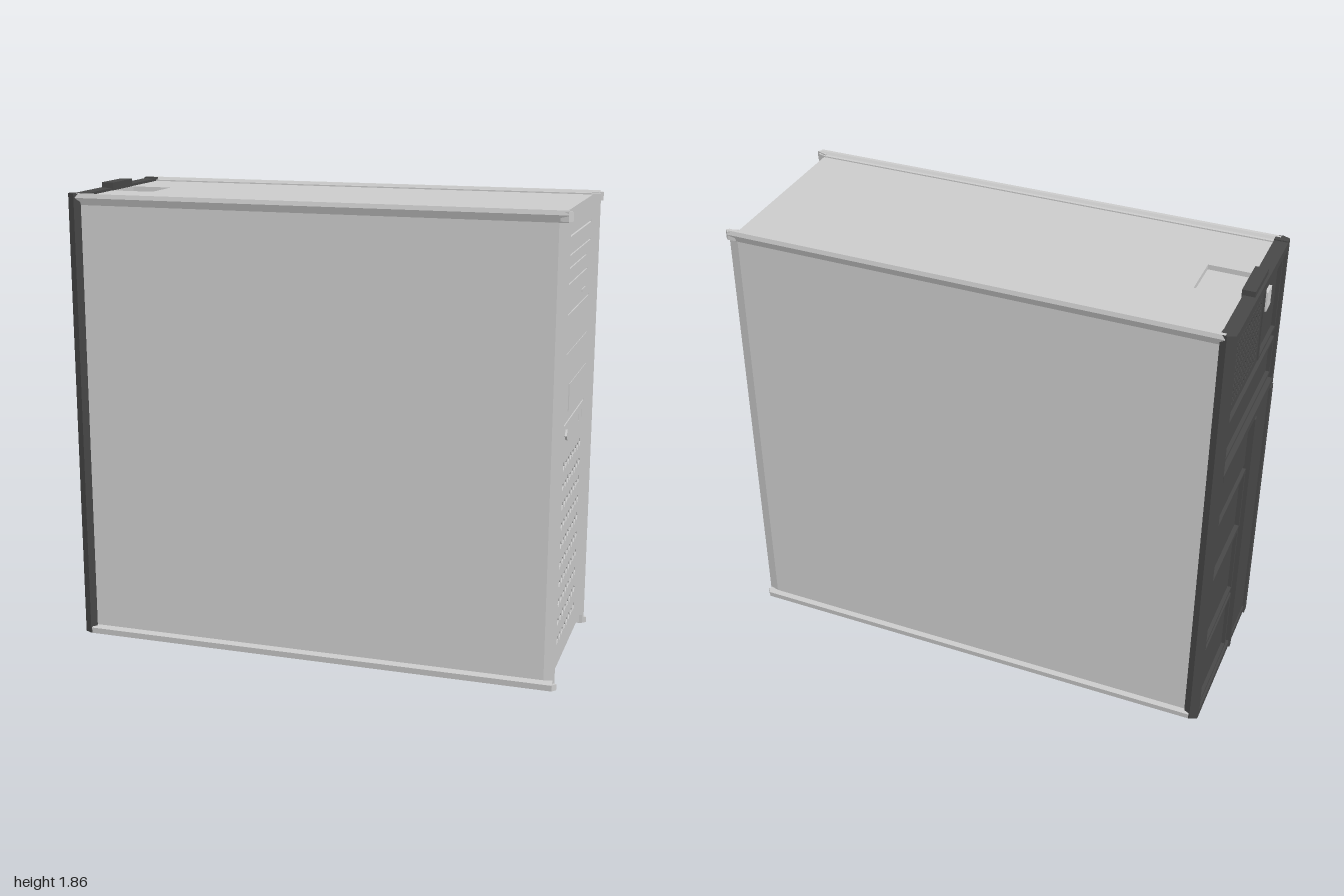
import * as THREE from 'three';

const grey = new THREE.MeshStandardMaterial({ color: 0xcccccc, flatShading: true });
const dark = new THREE.MeshStandardMaterial({ color: 0x484848, flatShading: true });

function add(parent, name, geometry, material = grey) {
  const mesh = new THREE.Mesh(geometry, material);
  mesh.name = name;
  parent.add(mesh);
  return mesh;
}

// Box from its limits on each axis
function box(parent, name, [x0, x1], [y0, y1], [z0, z1], material) {
  const g = new THREE.BoxGeometry(x1 - x0, y1 - y0, z1 - z0);
  g.translate((x0 + x1) / 2, (y0 + y1) / 2, (z0 + z1) / 2);
  return add(parent, name, g, material);
}

const outline = (pts, Type = THREE.Shape) => new Type(pts.map(([a, b]) => new THREE.Vector2(a, b)));
const rect = (a0, a1, b0, b1) => [[a0, b0], [a1, b0], [a1, b1], [a0, b1]];
const diamond = (a, b, r) => [[a - r, b], [a, b - r], [a + r, b], [a, b + r]];

// Prism along x; outline points are (-z, y)
function alongX(points, x0, x1, holes = []) {
  const shape = outline(points);
  shape.holes = holes.map((h) => outline(h, THREE.Path));
  const g = new THREE.ExtrudeGeometry(shape, { depth: x1 - x0, bevelEnabled: false });
  return g.rotateY(Math.PI / 2).translate(x0, 0, 0);
}

// Prism along y; outline points are (x, -z)
function alongY(points, y0, y1, holes = []) {
  const shape = outline(points);
  shape.holes = holes.map((h) => outline(h, THREE.Path));
  const g = new THREE.ExtrudeGeometry(shape, { depth: y1 - y0, bevelEnabled: false });
  return g.rotateX(-Math.PI / 2).translate(0, y0, 0);
}

function sidePanel(side) {
  const group = new THREE.Group();
  group.name = side > 0 ? 'sidePanelFront' : 'sidePanelBack';
  // Slab whose leading edge slants inward and overhangs the bezel
  const slab = [[-0.96, 0.345], [0.955, 0.345], [0.99, 0.355], [0.99, 0.362], [0.95, 0.373], [-0.96, 0.373]];
  add(group, 'panel', alongY(slab.map(([x, z]) => [x, -side * z]), 0.01, 1.835));
  // Flared rims along the bottom and top edges
  const bottom = [[0.35, 0.005], [0.385, 0.005], [0.388, 0.03], [0.373, 0.042], [0.35, 0.042]];
  const top = [[0.355, 1.8], [0.373, 1.8], [0.384, 1.828], [0.38, 1.845], [0.366, 1.845], [0.355, 1.83]];
  add(group, 'bottomRim', alongX(bottom.map(([z, y]) => [-side * z, y]), -0.96, 0.985));
  add(group, 'topRim', alongX(top.map(([z, y]) => [-side * z, y]), -0.96, 0.985));
  // Pointed rim ends beside the bezel
  for (const [y0, y1] of [[0.005, 0.03], [1.805, 1.84]]) {
    const tip = [[0.955, 0.35], [1, 0.367], [0.985, 0.383], [0.955, 0.38]];
    add(group, 'rimTip', alongY(tip.map(([x, z]) => [x, -side * z]), y0, y1));
  }
  return group;
}

function bezel() {
  const group = new THREE.Group();
  group.name = 'frontBezel';
  const holes = [];
  // Ventilation grid
  for (let row = 0; row < 10; row++)
    for (let col = 0; col < 10; col++)
      holes.push(diamond(-0.25 + col * 0.0555, 0.115 + row * 0.0795, 0.019));
  // Seams, power socket slots and upper drive grooves
  holes.push(rect(-0.31, 0.31, 0.997, 1.004));
  holes.push(rect(-0.34, 0.34, 1.724, 1.731));
  holes.push(rect(-0.34, 0.34, 1.428, 1.433));
  holes.push(rect(-0.34, 0.34, 1.653, 1.658));
  holes.push(rect(-0.3, 0.24, 1.604, 1.609), rect(-0.3, 0.28, 1.545, 1.55));
  holes.push(rect(0.184, 0.194, 0.935, 0.975), rect(0.26, 0.27, 0.935, 0.975));
  add(group, 'bezelPlate', alongX(rect(-0.347, 0.347, 0.005, 1.83), 0.94, 0.96, holes));
  // Optical drive button, bay covers and status buttons
  box(group, 'driveButton', [0.955, 0.964], [1.47, 1.48], [-0.225, -0.14]);
  box(group, 'bayCover', [0.955, 0.962], [1.15, 1.28], [-0.31, 0.31]);
  box(group, 'floppyCover', [0.955, 0.964], [1.04, 1.15], [-0.31, 0.09]);
  for (const z of [0.24, 0.12])
    add(group, 'statusButton', alongX(diamond(-z, 0.955, 0.021), 0.955, 0.968));
  return group;
}

function rear() {
  const group = new THREE.Group();
  group.name = 'rearPanel';
  const part = (name, x, y, z) => box(group, name, x, y, z, dark);
  part('backPlate', [-0.972, -0.95], [0.01, 1.83], [-0.36, 0.36]);
  // Chamfered side posts and top and bottom rails
  for (const s of [-1, 1]) {
    const post = [[-0.94, 0.345], [-0.94, 0.378], [-0.965, 0.385], [-0.995, 0.37], [-0.995, 0.345]];
    add(group, 'sidePost', alongY(post.map(([x, z]) => [x, -s * z]), 0.005, 1.845), dark);
  }
  part('topRail', [-0.995, -0.94], [1.805, 1.84], [-0.35, 0.35]);
  part('bottomRail', [-0.995, -0.95], [0.005, 0.035], [-0.35, 0.35]);
  // Power supply with perforated vent
  const vents = [];
  for (let row = 0; row < 11; row++)
    for (let col = 0; col < 13; col++)
      vents.push(diamond(-0.02 + col * 0.026, 1.515 + row * 0.026, 0.008));
  add(group, 'powerVent', alongX(rect(-0.05, 0.325, 1.48, 1.805), -0.985, -0.972, vents), dark);
  const frame = (name, x, y0, y1, z0, z1, w = 0.012) => add(group, name,
    alongX(rect(-z1, -z0, y0, y1), x, -0.97, [rect(-z1 + w, -z0 - w, y0 + w, y1 - w)]), dark);
  frame('socketFrame', -0.987, 1.48, 1.8, 0.07, 0.325);
  box(group, 'powerSocket', [-0.988, -0.97], [1.67, 1.75], [0.11, 0.17], grey);
  frame('upperBay', -0.987, 1.27, 1.44, -0.33, 0.325);
  part('dividerLip', [-0.997, -0.97], [1.205, 1.235], [-0.35, 0.36]);
  // Connector field and blanking covers
  part('connectorHeader', [-0.982, -0.97], [1.0, 1.18], [-0.33, 0.06]);
  frame('connectorFrame', -0.99, 0.69, 0.98, -0.33, 0.06);
  frame('middleCover', -0.987, 0.36, 0.68, -0.33, 0.06);
  frame('lowerCover', -0.987, 0.04, 0.33, -0.33, 0.06);
  // Raised expansion column
  part('expansionColumn', [-0.99, -0.97], [0.0, 1.2], [0.09, 0.36]);
  part('columnEdge', [-1, -0.97], [0.0, 1.2], [0.09, 0.11]);
  part('columnEdge', [-1, -0.97], [0.0, 1.2], [0.325, 0.36]);
  // Panel release latch
  part('latch', [-0.985, -0.935], [1.8, 1.862], [-0.09, 0.09]);
  return group;
}

export function createModel() {
  const model = new THREE.Group();
  model.name = 'computerTower';
  box(model, 'chassis', [-0.955, 0.94], [0.005, 1.81], [-0.35, 0.35]);
  // Top cover with a square finger recess by the latch
  add(model, 'topCover', alongY(rect(-0.955, 0.94, -0.36, 0.36), 1.81, 1.83, [rect(-0.93, -0.76, -0.09, 0.09)]));
  model.add(sidePanel(1), sidePanel(-1), bezel(), rear());
  return model;
}
